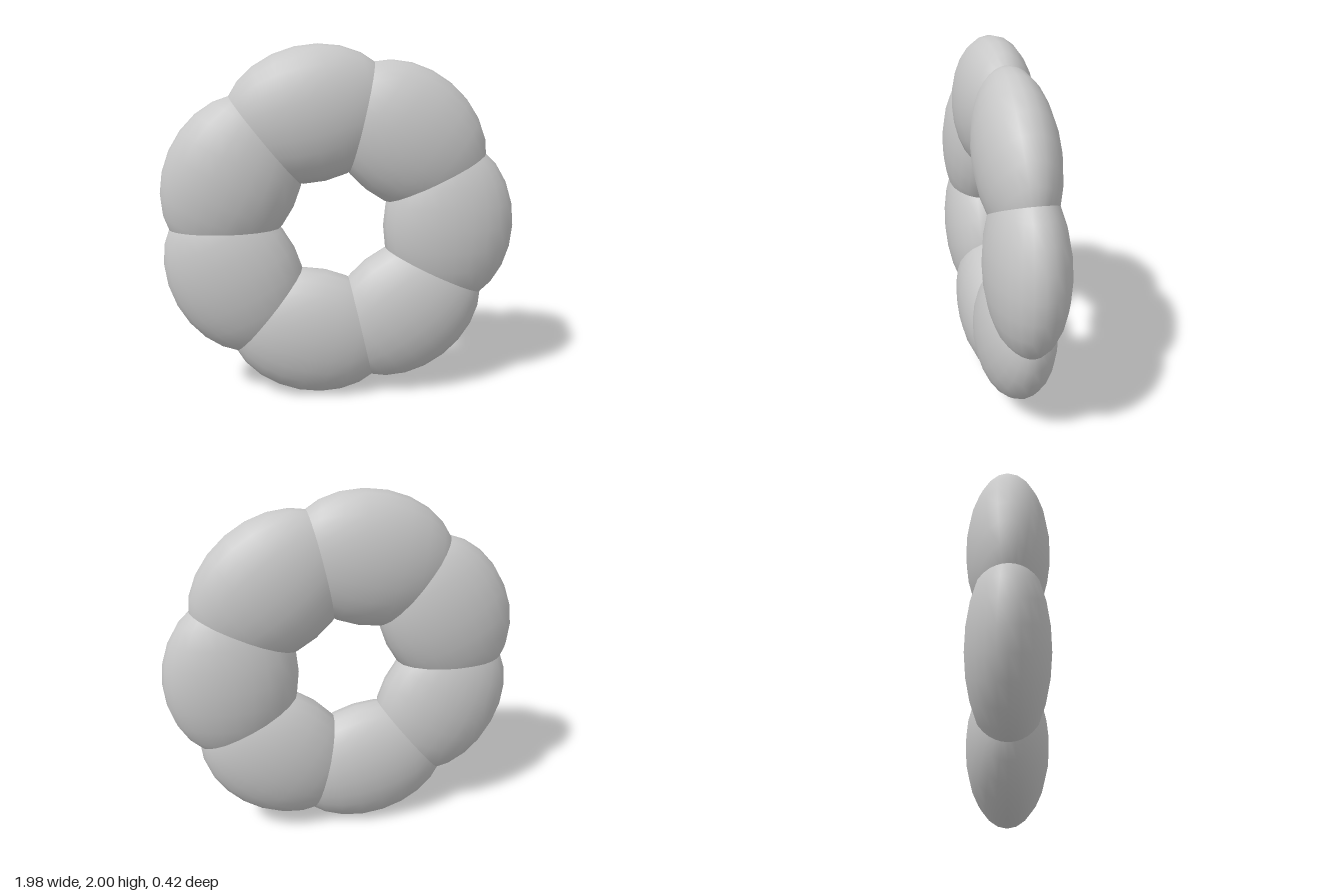
import * as THREE from 'three';

export function createModel() {
  const group = new THREE.Group();
  group.name = 'segmentedRing';
  const grey = new THREE.MeshStandardMaterial({ color: 0xc8c8c8 });
  grey.name = 'lightGrey';

  // one flattened ellipsoid: x radial, y along the ring, z depth
  const segment = new THREE.SphereGeometry(1, 24, 12);
  segment.scale(0.372, 0.48, 0.211);

  // seven overlapping segments around the ring
  const count = 7, radius = 0.637, centreX = -0.02;
  for (let i = 0; i < count; i++) {
    const angle = (i / count) * Math.PI * 2;
    const mesh = new THREE.Mesh(segment, grey);
    mesh.name = `ringSegment${i + 1}`;
    mesh.position.set(centreX + radius * Math.cos(angle), 1 + radius * Math.sin(angle), 0);
    mesh.rotation.z = angle;
    group.add(mesh);
  }
  return group;
}
